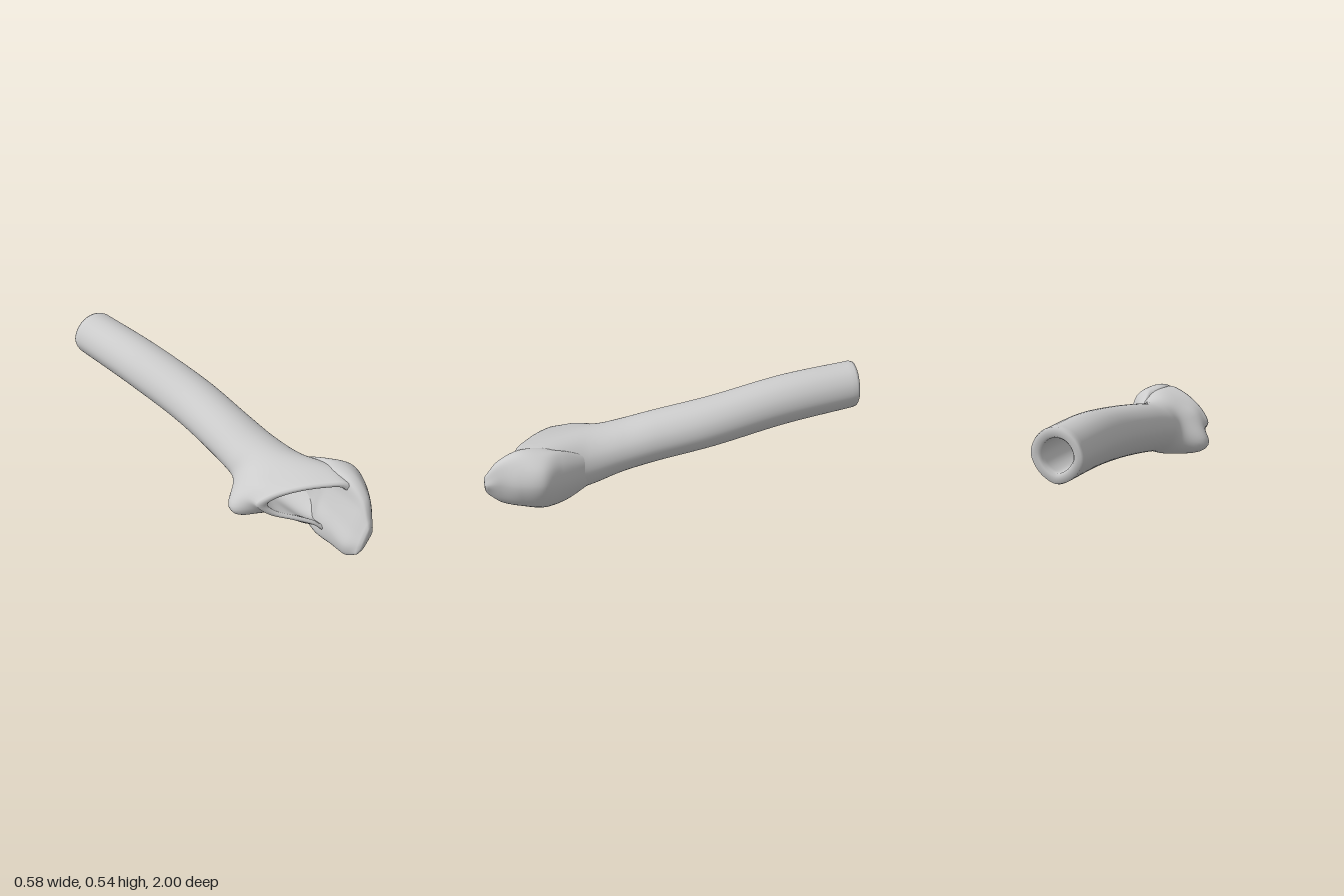
import * as THREE from 'three';

const AROUND = 56;
const STEPS = 14;

// Cross-section from [x, y] pairs; the section plane leans by slope in x
const section = (z, slope, pts) => pts.map(([x, y]) => new THREE.Vector3(x, y, z + slope * x));

// Oval cross-section with a slight ridge along its underside
function oval(z, slope, cx, cy, rx, ry, count = 12, ridge = 0) {
  const pts = [];
  for (let i = 0; i < count; i++) {
    const a = (i / count) * Math.PI * 2;
    const k = 1 - ridge * Math.max(0, -Math.sin(a)) * Math.abs(Math.cos(a));
    pts.push([cx + rx * k * Math.cos(a), cy + ry * k * Math.sin(a)]);
  }
  return section(z, slope, pts);
}

// Smooth rings through a list of cross-sections
function makeRings(sections) {
  const rails = sections[0].map((_, j) => new THREE.CatmullRomCurve3(sections.map((s) => s[j])));
  const total = (sections.length - 1) * STEPS;
  const rings = [];
  for (let i = 0; i <= total; i++) {
    const loop = new THREE.CatmullRomCurve3(rails.map((r) => r.getPoint(i / total)), true);
    const ring = [];
    for (let j = 0; j < AROUND; j++) ring.push(loop.getPoint(j / AROUND));
    rings.push(ring);
  }
  return rings;
}

const centre = (ring) =>
  ring.reduce((sum, p) => sum.add(p), new THREE.Vector3()).divideScalar(ring.length);

// Shrink a ring about its centre and shift it
function shrink(ring, scale, dx = 0, dz = 0) {
  const c = centre(ring);
  return ring.map((p) => {
    const q = c.clone().lerp(p, scale);
    q.x += dx;
    q.z += dz;
    return q;
  });
}

// Skin consecutive rings; wrap joins the last ring to the first
function skin(rings, wrap) {
  const pos = rings.flat().flatMap((p) => [p.x, p.y, p.z]);
  const index = [];
  const n = rings.length;
  for (let i = 0; i < (wrap ? n : n - 1); i++) {
    for (let j = 0; j < AROUND; j++) {
      const k = (j + 1) % AROUND;
      const i2 = (i + 1) % n;
      const a = i * AROUND + j, b = i * AROUND + k;
      const c = i2 * AROUND + k, d = i2 * AROUND + j;
      index.push(a, b, d, b, c, d);
    }
  }
  const geo = new THREE.BufferGeometry();
  geo.setAttribute('position', new THREE.Float32BufferAttribute(pos, 3));
  geo.setIndex(index);
  geo.computeVertexNormals();
  return geo;
}

// Hollow shaft flaring into an obliquely cut neck
function shaftGeometry() {
  const base = makeRings([
    oval(-0.985, 0, -0.13, 0.41, 0.13, 0.13, 12, 0.14),
    oval(-0.6, 0, -0.085, 0.383, 0.135, 0.135, 12, 0.12),
    oval(-0.2, 0, -0.035, 0.325, 0.138, 0.135, 12, 0.1),
    oval(0.1, 0, -0.027, 0.277, 0.142, 0.134, 12, 0.08),
    oval(0.28, 0.1, -0.022, 0.243, 0.152, 0.135, 12, 0.05),
    oval(0.42, 0.4, -0.01, 0.215, 0.172, 0.15),
    section(0.62, 0.6, [[0.22, 0.23], [0.2, 0.31], [0.13, 0.36], [0.03, 0.365], [-0.1, 0.335], [-0.2, 0.29],
      [-0.235, 0.225], [-0.19, 0.16], [-0.1, 0.1], [0, 0.03], [0.08, 0.03], [0.17, 0.12]]),
    section(0.74, 0.78, [[0.13, 0.22], [0.14, 0.3], [0.1, 0.36], [0.02, 0.362], [-0.1, 0.335], [-0.2, 0.285],
      [-0.245, 0.23], [-0.2, 0.175], [-0.1, 0.135], [-0.02, 0.1], [0.03, 0.06], [0.09, 0.12]]),
  ]);
  const last = base.length - 1;

  // Marrow canal, widening towards the neck
  const inner = base.map((r, i) => {
    const t = THREE.MathUtils.smoothstep(i / last, 0.6, 1);
    return shrink(r, 0.62 + 0.18 * t);
  });

  // Lesser trochanter swelling on the outer wall
  const knob = new THREE.Vector3(-0.17, 0.15, 0.42);
  const outer = base.map((r) => r.map((p) => {
    const push = 0.115 * Math.exp(-Math.pow(p.distanceTo(knob) / 0.095, 2.6));
    return new THREE.Vector3(p.x - push, p.y - 0.2 * push, p.z);
  }));

  // Rounded lips at both ends
  const backLip = [0.7, 0.96].map((s) => shrink(base[0], s, 0, -0.015));
  const frontLip = [0.97, 0.85].map((s) => shrink(base[last], s, -0.008, 0.01));
  return skin([...backLip, ...outer, ...frontLip, ...inner.reverse()], true);
}

// Greater trochanter: closed lens-shaped mass beside the cut
function trochanterGeometry() {
  const rings = makeRings([
    oval(0.45, 0, 0.115, 0.21, 0.025, 0.08, 10),
    section(0.6, 0, [[0.225, 0.22], [0.2, 0.31], [0.14, 0.355], [0.115, 0.33], [0.11, 0.25],
      [0.1, 0.18], [0.08, 0.1], [0.05, 0.015], [0.12, 0.03], [0.2, 0.13]]),
    section(0.7, 0, [[0.278, 0.235], [0.25, 0.32], [0.17, 0.37], [0.1, 0.36], [0.085, 0.28],
      [0.06, 0.2], [0.02, 0.1], [0.02, 0.005], [0.13, 0.015], [0.23, 0.1]]),
    section(0.82, 0, [[0.24, 0.22], [0.215, 0.31], [0.16, 0.365], [0.105, 0.362], [0.08, 0.28],
      [0.045, 0.19], [0.005, 0.09], [0.02, 0.006], [0.1, 0.015], [0.19, 0.09]]),
    section(0.92, 0, [[0.17, 0.2], [0.165, 0.26], [0.14, 0.31], [0.105, 0.31], [0.08, 0.26],
      [0.04, 0.17], [0, 0.08], [0.015, 0.015], [0.06, 0.018], [0.13, 0.09]]),
    section(0.985, 0, [[0.12, 0.17], [0.11, 0.2], [0.1, 0.22], [0.085, 0.22], [0.07, 0.2],
      [0.045, 0.15], [0.025, 0.1], [0.02, 0.06], [0.04, 0.06], [0.085, 0.11]]),
  ]);
  const tip = rings[rings.length - 1];
  return skin([
    shrink(rings[0], 0.001), ...rings,
    shrink(tip, 0.75, 0, 0.011), shrink(tip, 0.4, 0, 0.015), shrink(tip, 0.001, 0, 0.015),
  ], false);
}

export function createModel() {
  const group = new THREE.Group();
  group.name = 'thighBone';
  const material = new THREE.MeshStandardMaterial({ color: 0xcccccc });
  const parts = { hollowShaft: shaftGeometry(), greaterTrochanter: trochanterGeometry() };
  for (const [name, geometry] of Object.entries(parts)) {
    const mesh = new THREE.Mesh(geometry, material);
    mesh.name = name;
    group.add(mesh);
  }
  return group;
}
